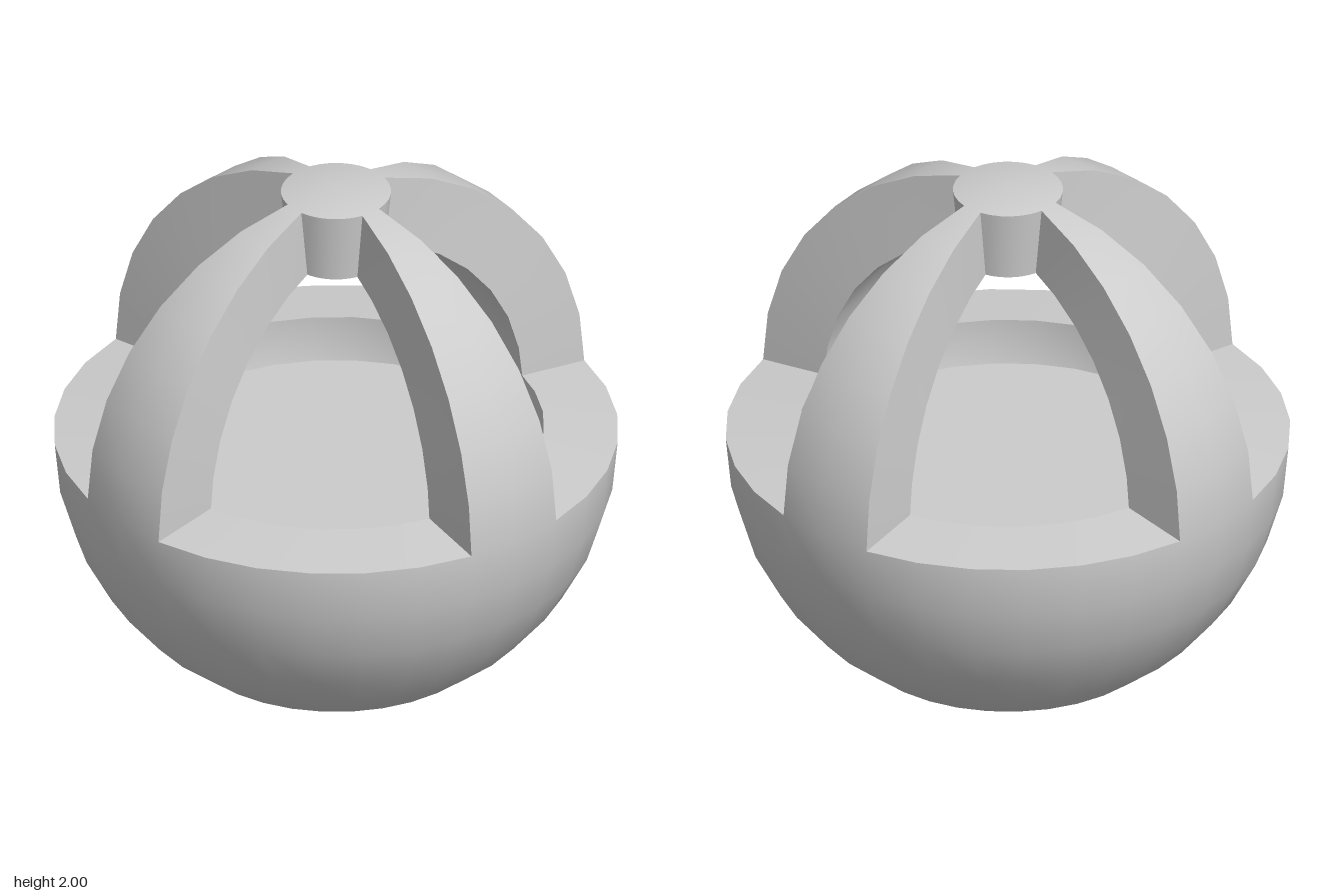
import * as THREE from 'three';
import { toCreasedNormals } from 'three/addons/utils/BufferGeometryUtils.js';

// A hollow ball on a grid of 16 rings by 32 columns, with four openings in its upper half.
const STEP = Math.PI / 16;
const INNER = 0.737;
const BEVEL = THREE.MathUtils.degToRad(2);
const material = new THREE.MeshStandardMaterial({ color: 0xcccccc });

function onSphere(radius, polar, around) {
  return new THREE.Vector3(
    radius * Math.sin(polar) * Math.sin(around),
    radius * Math.cos(polar),
    radius * Math.sin(polar) * Math.cos(around)
  );
}

const outer = (ring, col) => onSphere(1, ring * STEP, col * STEP);

// The inner edge of each opening is drawn slightly into the opening.
function inner(ring, col) {
  const m = ((col % 8) + 8) % 8;
  let polar = ring * STEP;
  let around = col * STEP;
  if (ring >= 1 && ring <= 8) {
    if (m === 1) around += BEVEL;
    if (m === 7) around -= BEVEL;
  }
  if (m !== 0 && ring === 1) polar += BEVEL;
  if (m !== 0 && ring === 8) polar -= BEVEL;
  return onSphere(INNER, polar, around);
}

// Mesh from quads; facing is 1 for outward sphere normals, -1 for inward, 0 for creased.
function quadMesh(name, quads, facing) {
  const pos = [];
  const nor = [];
  for (const [a, b, c, d] of quads) {
    for (const tri of [[a, b, c], [a, c, d]]) {
      const [p, q, r] = tri;
      if (p.distanceTo(q) < 1e-5 || q.distanceTo(r) < 1e-5 || r.distanceTo(p) < 1e-5) continue;
      for (const v of tri) {
        pos.push(v.x, v.y, v.z);
        const n = v.clone().normalize().multiplyScalar(facing || 1);
        nor.push(n.x, n.y, n.z);
      }
    }
  }
  let geo = new THREE.BufferGeometry();
  geo.setAttribute('position', new THREE.Float32BufferAttribute(pos, 3));
  if (facing) geo.setAttribute('normal', new THREE.Float32BufferAttribute(nor, 3));
  else geo = toCreasedNormals(geo, 0.5);
  const mesh = new THREE.Mesh(geo, material);
  mesh.name = name;
  return mesh;
}

// Patch of the outer skin or the inner lining.
function patch(name, point, ring0, ring1, col0, col1, facing) {
  const quads = [];
  for (let i = ring0; i < ring1; i++) {
    for (let j = col0; j < col1; j++) {
      const q = [point(i, j), point(i + 1, j), point(i + 1, j + 1), point(i, j + 1)];
      quads.push(facing > 0 ? q : q.reverse());
    }
  }
  return quadMesh(name, quads, facing);
}

// Edge of the four openings along one ring.
function ringEdge(name, ring, flip) {
  const quads = [];
  for (let j = 0; j < 32; j++) {
    if (j % 8 === 0 || j % 8 === 7) continue;
    const q = [outer(ring, j), outer(ring, j + 1), inner(ring, j + 1), inner(ring, j)];
    quads.push(flip ? q.reverse() : q);
  }
  return quadMesh(name, quads, 0);
}

// Side wall of a rib, along one column.
function ribSide(name, col, flip) {
  const quads = [];
  for (let i = 1; i < 8; i++) {
    const q = [outer(i, col), outer(i + 1, col), inner(i + 1, col), inner(i, col)];
    quads.push(flip ? q.reverse() : q);
  }
  return quadMesh(name, quads, 0);
}

function part(name, ...meshes) {
  const group = new THREE.Group();
  group.name = name;
  group.add(...meshes);
  return group;
}

export function createModel() {
  const model = new THREE.Group();
  model.name = 'openBall';

  // Lower half with a shallow flat-floored recess
  const floor = new THREE.Mesh(new THREE.CircleGeometry(INNER * Math.cos(STEP), 32), material);
  floor.name = 'bowlFloor';
  floor.rotation.x = -Math.PI / 2;
  floor.position.y = -INNER * Math.sin(STEP);
  model.add(part('bowl',
    patch('bowlOutside', outer, 8, 16, 0, 32, 1),
    patch('bowlInnerWall', inner, 8, 9, 0, 32, -1),
    ringEdge('bowlRim', 8, false),
    floor
  ));

  // Four curved ribs
  for (let k = 0; k < 4; k++) {
    const rib = part('rib',
      patch('ribOutside', outer, 1, 8, -1, 1, 1),
      patch('ribInside', inner, 1, 8, -1, 1, -1),
      ribSide('ribLeftSide', 1, false),
      ribSide('ribRightSide', -1, true)
    );
    rib.rotation.y = k * Math.PI / 2;
    model.add(rib);
  }

  // Round hub joining the ribs at the top
  model.add(part('hub',
    patch('hubTop', outer, 0, 1, 0, 32, 1),
    patch('hubUnderside', inner, 0, 1, 0, 32, -1),
    ringEdge('hubSide', 1, true)
  ));

  model.position.y = 1;
  const root = new THREE.Group();
  root.add(model);
  return root;
}
